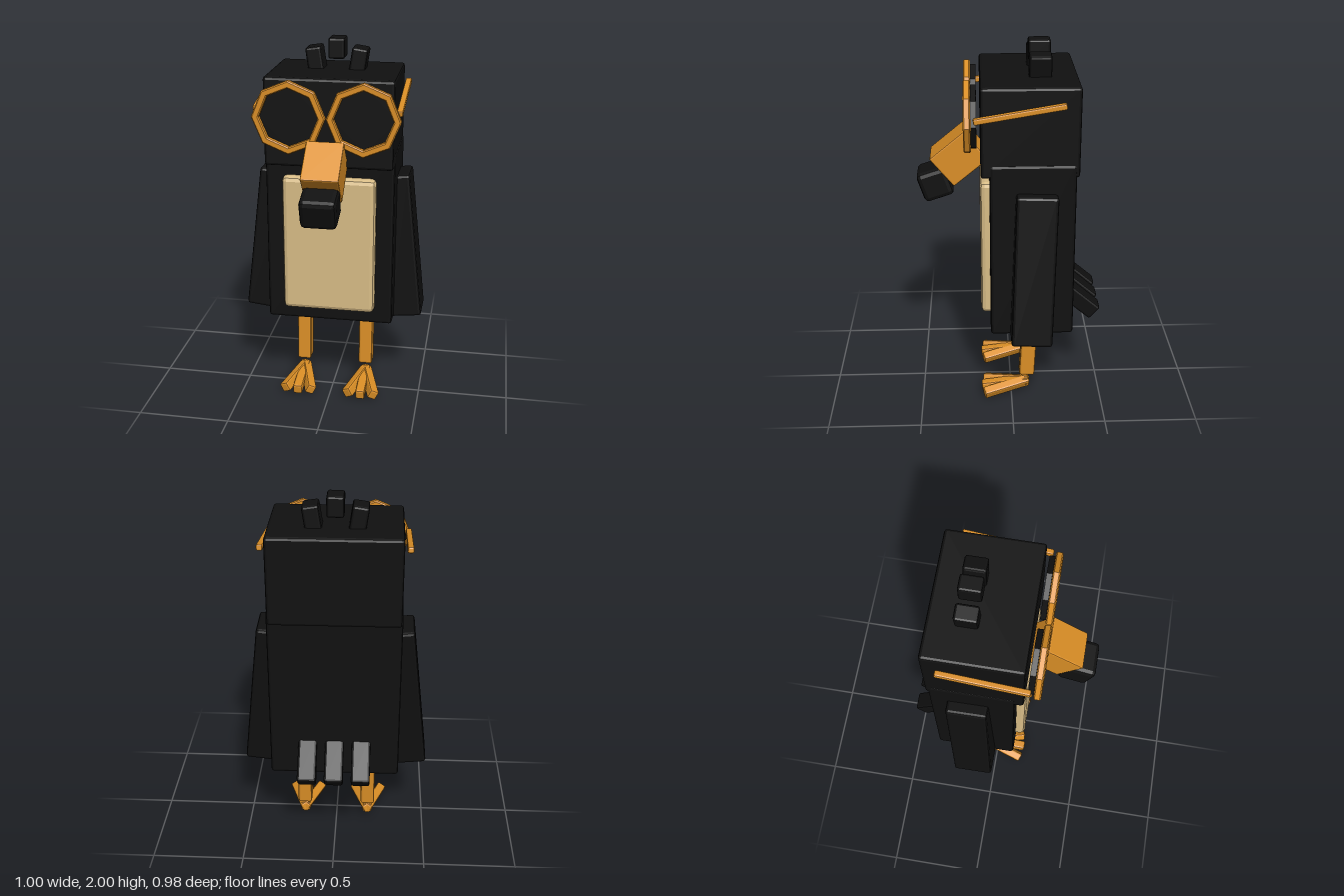
import * as THREE from 'three';
import { RoundedBoxGeometry } from 'three/addons/geometries/RoundedBoxGeometry.js';

function material(name, color) {
  const m = new THREE.MeshStandardMaterial({ color });
  m.name = name;
  return m;
}

export function createModel() {
  const black = material('black', 0x101010);
  const orange = material('orange', 0xdb8f26);
  const cream = material('cream', 0xd9bd87);
  const model = new THREE.Group();
  model.name = 'bird';

  function add(name, geometry, mat, pos, rot = [0, 0, 0]) {
    const mesh = new THREE.Mesh(geometry, mat);
    mesh.name = name;
    mesh.position.set(...pos);
    mesh.rotation.set(rot[0], rot[1], rot[2], 'YXZ');
    model.add(mesh);
    return mesh;
  }

  // Box with small faceted bevels
  function block(w, h, d, bevel) {
    const g = new RoundedBoxGeometry(w, h, d, 1, bevel);
    g.computeVertexNormals();
    return g;
  }

  // Octagon with a corner at the top
  function octagon(radius, Type) {
    const pts = [];
    for (let i = 0; i < 8; i++) {
      const a = (i * Math.PI) / 4;
      pts.push(new THREE.Vector2(Math.cos(a) * radius, Math.sin(a) * radius));
    }
    return new Type(pts);
  }

  // Body, head and belly
  add('body', block(0.69, 0.97, 0.44, 0.015), black, [0, 0.955, -0.105]);
  add('head', block(0.68, 0.47, 0.5, 0.015), black, [0, 1.603, -0.09]);
  add('belly', block(0.5, 0.76, 0.09, 0.025), cream, [0, 0.93, 0.12]);

  // Beak with its dark drooping tip
  add('beak', block(0.196, 0.2, 0.238, 0.008), orange, [0, 1.385, 0.272], [0.69, 0, 0]);
  add('beakTip', block(0.19, 0.165, 0.165, 0.025), black, [0, 1.238, 0.4], [0.32, 0, 0]);

  // Crest and tail feathers
  add('crestFeather', block(0.088, 0.11, 0.115, 0.012), black, [0, 1.945, -0.147]);
  for (const i of [-1, 0, 1]) {
    if (i) add('crestFeather', block(0.085, 0.14, 0.115, 0.012), black, [i * 0.116, 1.88, -0.147], [0, 0, -i * 0.15]);
    add('tailFeather', block(0.1, 0.092, 0.25, 0.012), black, [i * 0.143, 0.582, -0.368], [-0.716, 0, 0]);
  }

  // Glasses rim: an octagon ring with bevelled edges
  const rimShape = octagon(0.185, THREE.Shape);
  rimShape.holes.push(octagon(0.159, THREE.Path));
  const rimGeometry = new THREE.ExtrudeGeometry(rimShape, {
    depth: 0.024, bevelEnabled: true, bevelThickness: 0.006, bevelSize: 0.006, bevelSegments: 1,
  });
  const lensGeometry = new THREE.ExtrudeGeometry(octagon(0.168, THREE.Shape), { depth: 0.028, bevelEnabled: false });

  for (const s of [-1, 1]) {
    // Wings flare outward towards the bottom
    add('wing', block(0.18, 0.82, 0.215, 0.015), black, [s * 0.365, 0.877, -0.111], [-0.035, 0, s * 0.11]);

    // Glasses
    add('glassesRim', rimGeometry, orange, [s * 0.193, 1.648, 0.213]);
    add('glassesLens', lensGeometry, black, [s * 0.193, 1.648, 0.178]);
    add('glassesTemple', block(0.032, 0.032, 0.462, 0.008), orange, [s * 0.37, 1.718, -0.035], [0.165, 0, 0]);

    // Leg
    add('leg', block(0.078, 0.46, 0.086, 0.012), orange, [s * 0.18, 0.35, -0.097], [-0.047, 0, 0]);

    // Three toes fanning out from the heel
    for (const t of [-1, 0, 1]) {
      const toe = block(0.052, 0.056, 0.265, 0.01);
      toe.translate(0, 0, 0.125);
      add('toe', toe, orange, [s * 0.18, 0.064, -0.09], [0.12, t * 0.3, -t * 0.45]);
    }
  }
  return model;
}
